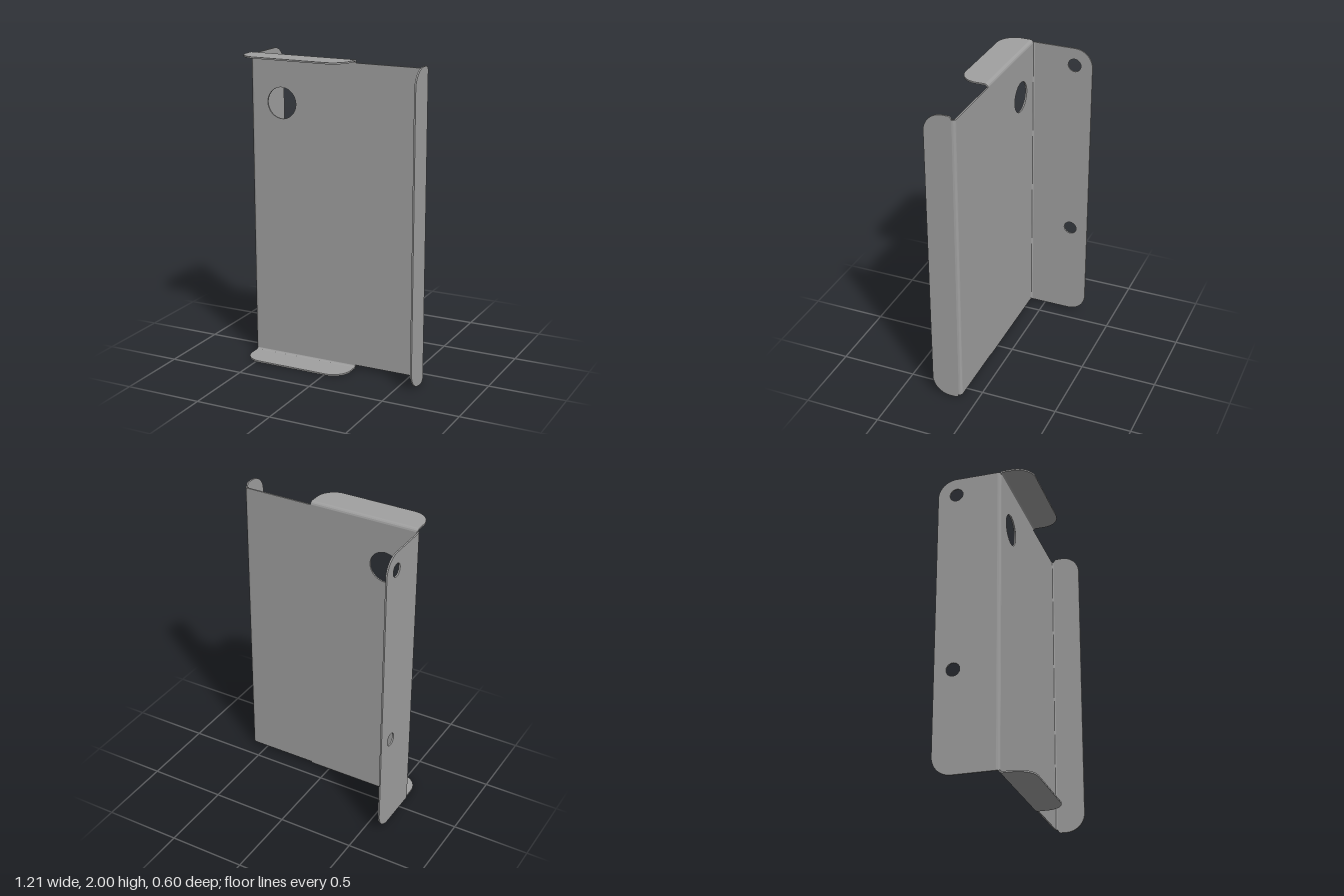
import * as THREE from 'three';
import { toCreasedNormals } from 'three/addons/utils/BufferGeometryUtils.js';

const T = 0.01;   // sheet thickness
const R = 0.022;  // outer bend radius
const W = 0.605;  // half width
const Z = 0.1;    // back face of the plate
const C = 0.12;   // flange corner radius
const H = Math.PI / 2;

// Rectangle with a radius per corner: bottom left, bottom right, top right, top left
function roundRect(x0, y0, x1, y1, radii = [0, 0, 0, 0]) {
  const s = new THREE.Shape();
  const corners = [[x0, y0, 1, 1], [x1, y0, -1, 1], [x1, y1, -1, -1], [x0, y1, 1, -1]];
  corners.forEach(([x, y, dx, dy], i) => {
    const r = radii[i];
    if (r) s.absarc(x + dx * r, y + dy * r, r, Math.PI + i * H, Math.PI + (i + 1) * H, false);
    else if (i) s.lineTo(x, y);
    else s.moveTo(x, y);
  });
  s.closePath();
  return s;
}

function addHole(shape, x, y, r) {
  shape.holes.push(new THREE.Path().absarc(x, y, r, 0, Math.PI * 2, true));
}

// Quarter ring, the section of a bend
function bendShape(x, y, start) {
  const s = new THREE.Shape();
  s.absarc(x, y, R, start, start + H, false);
  s.absarc(x, y, R - T, start + H, start, true);
  s.closePath();
  return s;
}

export function createModel() {
  const group = new THREE.Group();
  const steel = new THREE.MeshStandardMaterial({ color: 0xa0a0a0 });
  steel.name = 'steel grey';

  // axis is the direction of extrusion; x and y extrude towards the negative side of `at`
  function add(name, shape, axis, at, depth = T) {
    let geo = new THREE.ExtrudeGeometry(shape, { depth, bevelEnabled: false, curveSegments: 20 });
    if (axis === 'x') geo.rotateY(-H); // shape is (z, y)
    if (axis === 'y') geo.rotateX(H);  // shape is (x, z)
    geo = toCreasedNormals(geo, 0.6);
    const mesh = new THREE.Mesh(geo, steel);
    mesh.name = name;
    mesh.position[axis] = at;
    group.add(mesh);
  }

  // Main plate with its round opening
  const plate = roundRect(-W + R, R, W - R, 2 - R);
  addHole(plate, -0.385, 1.69, 0.1);
  add('mainPlate', plate, 'z', Z);

  // Side flange turned backwards, with two screw holes
  const back = roundRect(-0.3, 0.015, Z + T - R, 1.985, [C, 0, 0, C]);
  for (const y of [0.67, 1.87]) addHole(back, -0.18, y, 0.043);
  add('rearFlange', back, 'x', -W + T);
  add('rearFlangeBend', bendShape(-W + R, Z + T - R, H), 'y', 1.985, 1.97);

  // Side flange turned forwards
  add('frontFlange', roundRect(Z + R, 0, 0.3, 2, [R, C, C, R]), 'x', W);
  add('frontFlangeBend', bendShape(W - R, Z + R, -H), 'y', 2 - R, 2 - 2 * R);

  // Short flanges at the top and bottom
  const x0 = -0.593, x1 = 0.13;
  const tab = roundRect(x0, Z + R, x1, 0.3, [0, 0, C, C]);
  add('topFlange', tab, 'y', 2);
  add('bottomFlange', tab, 'y', T);
  add('topFlangeBend', bendShape(Z + R, 2 - R, H), 'x', x1, x1 - x0);
  add('bottomFlangeBend', bendShape(Z + R, R, Math.PI), 'x', x1, x1 - x0);

  return group;
}
